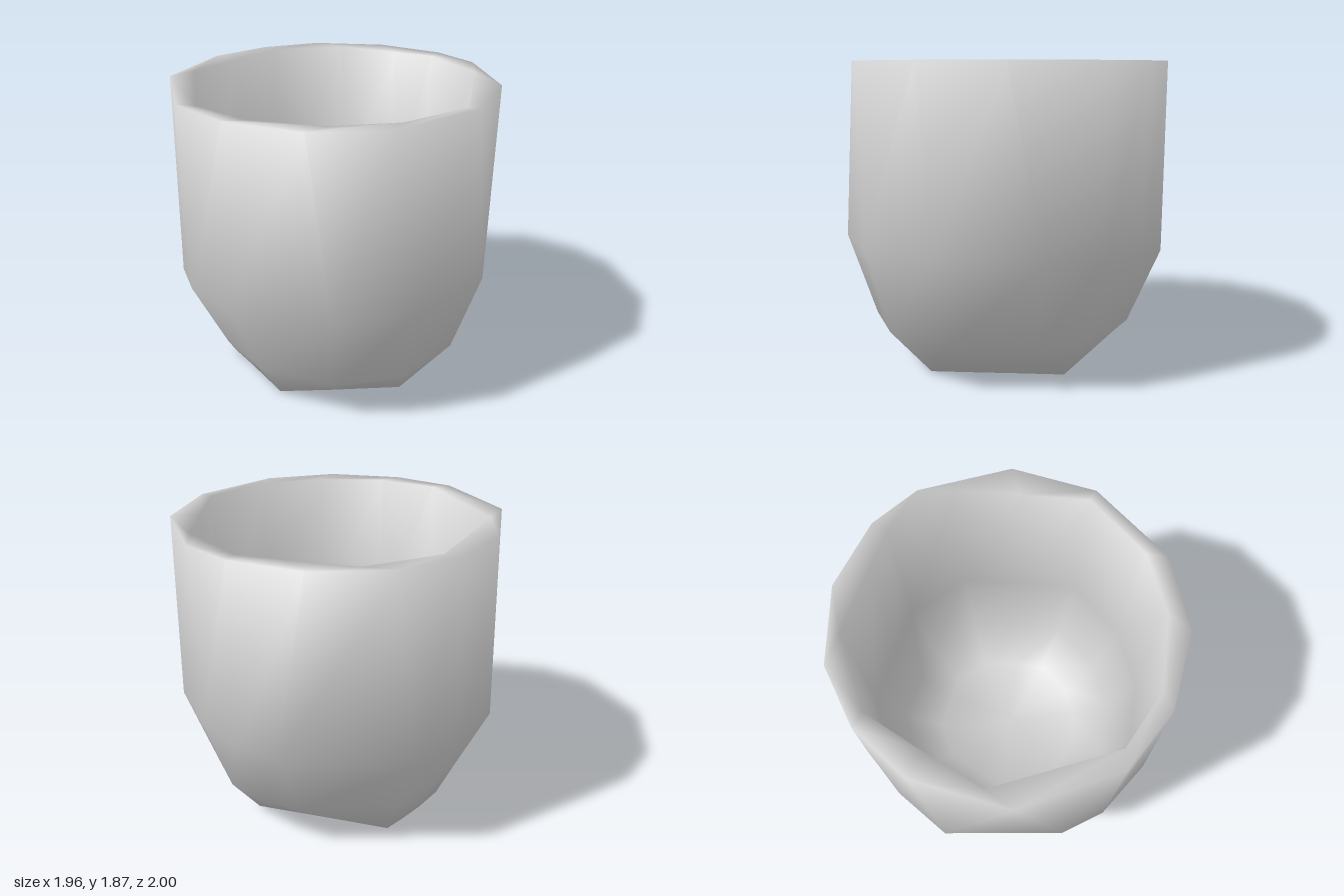
import * as THREE from 'three';

// Hand-shaped outlines as [x, z], running back -> left (+x) -> front -> right
const foot = [[-0.25, -0.61], [-0.12, -0.67], [0.24, -0.43], [0.59, -0.2], [0.5, 0.06], [0.42, 0.3], [0.33, 0.56],
  [-0.1, 0.53], [-0.42, 0.5], [-0.6, 0.16], [-0.69, 0], [-0.57, -0.42], [-0.4, -0.53]];
const flank = [[-0.13, -0.79], [0.45, -0.66], [0.62, -0.5], [0.77, -0.27], [0.8, 0.05], [0.66, 0.52], [0.3, 0.8],
  [-0.12, 0.83], [-0.54, 0.6], [-0.73, 0.28], [-0.8, 0.05], [-0.65, -0.5], [-0.4, -0.68]];
const belly = [[-0.15, -1], [0.6, -0.8], [0.79, -0.59], [0.93, -0.31], [0.98, 0.06], [0.79, 0.63], [0.33, 0.94],
  [-0.15, 1], [-0.7, 0.71], [-0.92, 0.38], [-0.98, 0.1], [-0.8, -0.62], [-0.48, -0.85]];
const lip = [[0, -1], [0.45, -0.88], [0.78, -0.6], [0.93, -0.31], [0.94, 0.25], [0.68, 0.68], [0.17, 0.95],
  [-0.28, 0.93], [-0.68, 0.7], [-0.92, 0.38], [-0.98, -0.22], [-0.7, -0.7], [-0.37, -0.92]];
const mouth = [[0.16, -0.89], [0.5, -0.67], [0.72, -0.52], [0.88, -0.1], [0.76, 0.26], [0.63, 0.63], [0.23, 0.83],
  [-0.15, 0.84], [-0.56, 0.68], [-0.81, 0.4], [-0.84, -0.34], [-0.57, -0.6], [-0.3, -0.85]];

// Cross-sections from the base, up the outside, over the lip and down the inside
const sections = [
  { outline: foot, y: 0.01 },
  { outline: flank, y: 0.27 },
  { outline: belly, y: 0.75, tilt: 0.04 },
  { outline: lip, y: 1.865 },
  { outline: mouth, y: 1.86 },
  { outline: mouth, y: 0.8, scale: 0.98 },
  { outline: mouth, y: 0.36, scale: 0.82 },
  { outline: mouth, y: 0.14, scale: 0.55 },
];

// Average the face normals with equal weight, so the narrow lip shades round
function softNormals(positions, index) {
  const normals = positions.map(() => 0);
  const corner = (v) => new THREE.Vector3().fromArray(positions, v * 3);
  const face = new THREE.Triangle();
  const normal = new THREE.Vector3();
  for (let t = 0; t < index.length; t += 3) {
    const ids = index.slice(t, t + 3);
    face.set(...ids.map(corner)).getNormal(normal);
    for (const v of ids) normal.toArray().forEach((value, axis) => { normals[v * 3 + axis] += value; });
  }
  return normals;
}

// Skin the sections and close both ends with a fan
function skin(rings) {
  const n = rings[0].outline.length;
  const positions = [];
  const index = [];
  for (const { outline, y, scale = 1, tilt = 0 } of rings) {
    for (const [x, z] of outline) positions.push(x * scale, y + tilt * (x + z), z * scale);
  }
  for (let k = 0; k < rings.length - 1; k++) {
    for (let i = 0; i < n; i++) {
      const a = k * n + i;
      const b = k * n + (i + 1) % n;
      index.push(a, a + n, b, b, a + n, b + n);
    }
  }
  const base = rings.length * n;
  const last = base - n;
  positions.push(-0.05, 0, 0, 0, 0.12, 0);
  for (let i = 0; i < n; i++) {
    const j = (i + 1) % n;
    index.push(base, i, j, base + 1, last + j, last + i);
  }
  const geometry = new THREE.BufferGeometry();
  geometry.setAttribute('position', new THREE.Float32BufferAttribute(positions, 3));
  geometry.setAttribute('normal', new THREE.Float32BufferAttribute(softNormals(positions, index), 3));
  geometry.setIndex(index);
  geometry.normalizeNormals();
  return geometry;
}

export function createModel() {
  const group = new THREE.Group();
  group.name = 'cup';
  const body = new THREE.Mesh(skin(sections), new THREE.MeshStandardMaterial({ color: 0xcccccc }));
  body.name = 'cupBody';
  group.add(body);
  return group;
}
